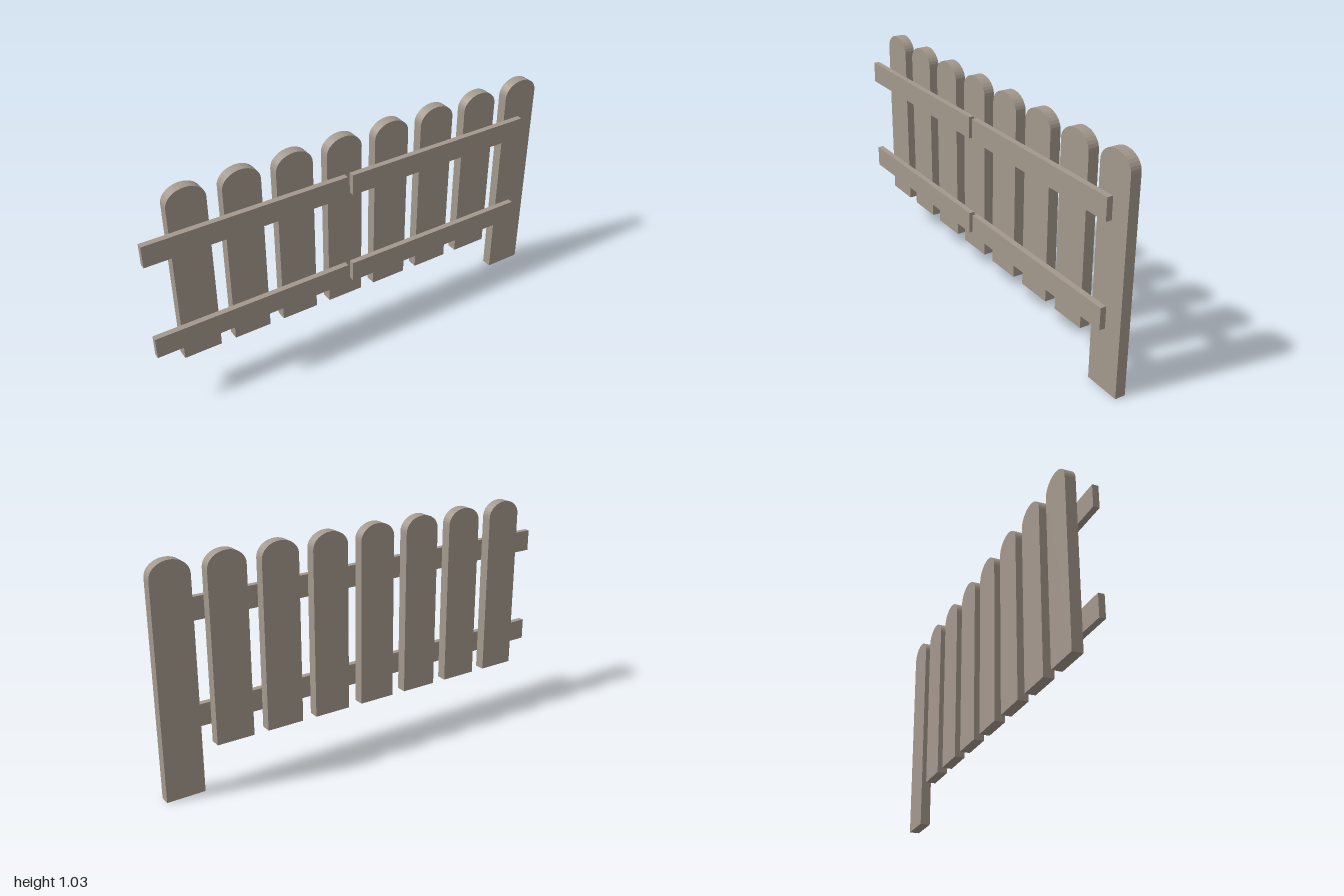
import * as THREE from 'three';

export function createModel() {
  const fence = new THREE.Group();
  fence.name = 'picketFence';
  const wood = new THREE.MeshStandardMaterial({ color: 0xa3988d });
  wood.name = 'weathered wood';

  const HALF = 0.087, TOP = 1.035, ARCH = 0.07;
  const BACK = -0.037, JOIN = 0.011, FRONT = 0.038;

  // Board with a flattened round top
  function picketGeometry(bottom) {
    const s = new THREE.Shape();
    s.moveTo(-HALF, bottom);
    s.lineTo(HALF, bottom);
    s.lineTo(HALF, TOP - ARCH);
    s.absellipse(0, TOP - ARCH, HALF, ARCH, 0, Math.PI, false, 0);
    s.closePath();
    const g = new THREE.ExtrudeGeometry(s, { depth: JOIN - BACK, bevelEnabled: false, curveSegments: 8 });
    g.translate(0, 0, BACK);
    return g;
  }

  // Seven short pickets, then a post reaching the ground
  const shortBoard = picketGeometry(0.196);
  const longBoard = picketGeometry(0);
  for (let i = 0; i < 8; i++) {
    const isPost = i === 7;
    const board = new THREE.Mesh(isPost ? longBoard : shortBoard, wood);
    board.name = isPost ? 'groundPost' : `picket${i + 1}`;
    board.position.x = -0.785 + i * 0.2424;
    fence.add(board);
  }

  // Two rails, each in two lengths with a small gap
  const railGeometry = new THREE.BoxGeometry(0.942, 0.1, FRONT - JOIN);
  for (const [level, y] of [['lower', 0.33], ['upper', 0.8]]) {
    for (const [side, x] of [['Right', -0.529], ['Left', 0.439]]) {
      const rail = new THREE.Mesh(railGeometry, wood);
      rail.name = `${level}Rail${side}`;
      rail.position.set(x, y, (JOIN + FRONT) / 2);
      fence.add(rail);
    }
  }
  return fence;
}
